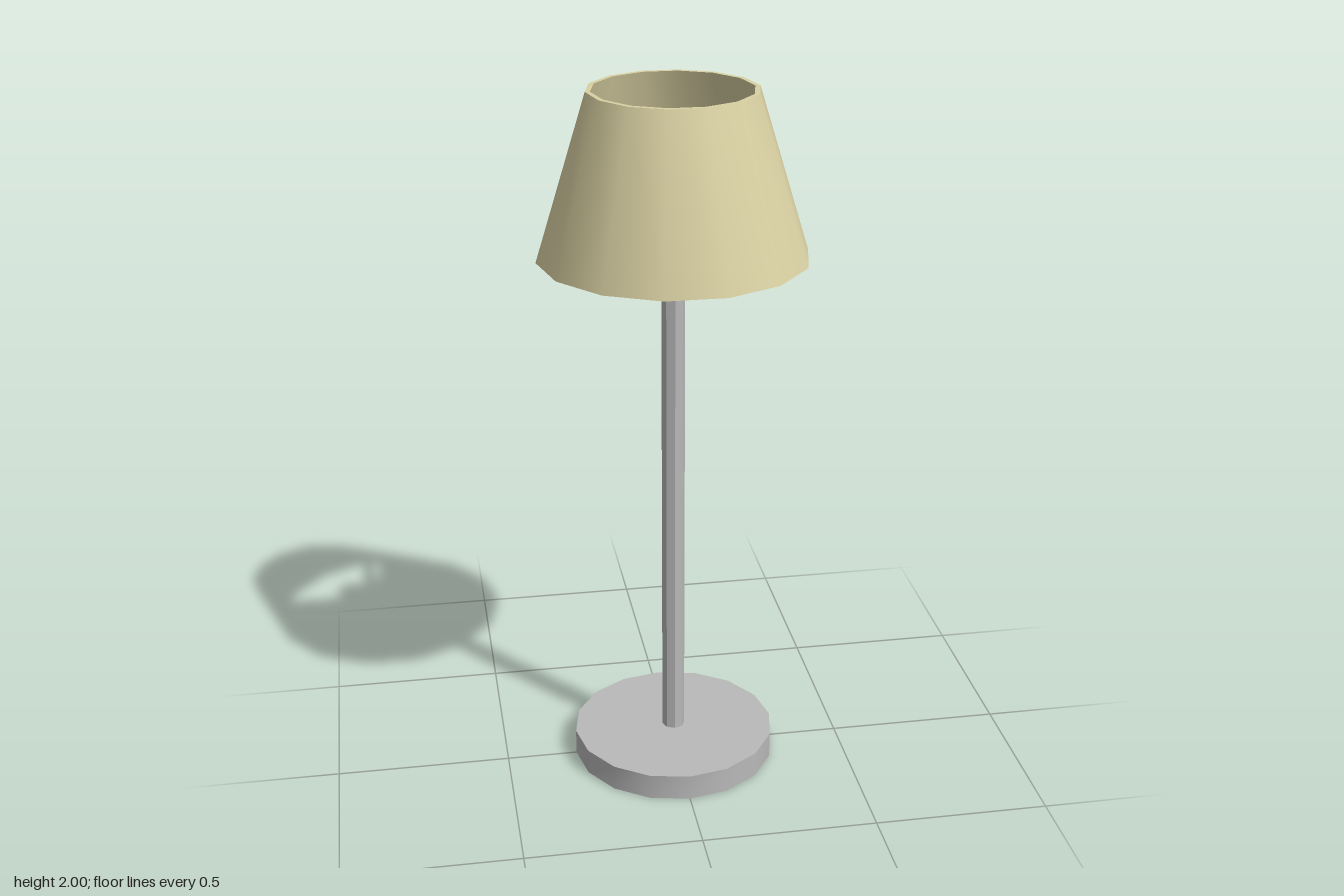
import * as THREE from 'three';
import { toCreasedNormals } from 'three/addons/utils/BufferGeometryUtils.js';

export function createModel() {
  const group = new THREE.Group();
  const material = (name, color) => {
    const m = new THREE.MeshStandardMaterial({ color });
    m.name = name;
    return m;
  };
  const metal = material('grey metal', 0xb9b9b9);
  const fabric = material('cream fabric', 0xdad1a3);
  const glow = material('yellow bulb', 0xe0d80a);

  // Adds a part; edges sharper than the crease angle stay hard
  const add = (name, geometry, mat, y, crease) => {
    const mesh = new THREE.Mesh(toCreasedNormals(geometry, crease), mat);
    mesh.name = name;
    mesh.position.y = y;
    group.add(mesh);
    return mesh;
  };

  // Round foot and slim faceted pole
  add('base', new THREE.CylinderGeometry(0.295, 0.295, 0.075, 16), metal, 0.0375, 0.6);
  add('pole', new THREE.CylinderGeometry(0.033, 0.033, 1.605, 8), metal, 0.8775, 0.6);

  // Cross of two bars holding the shade
  for (const [name, turn] of [['sideBar', 0], ['frontBar', Math.PI / 2 - 0.01]]) {
    const bar = add(name, new THREE.BoxGeometry(0.62, 0.02, 0.02), metal, 1.675, 0.6);
    bar.rotation.y = turn;
  }

  // Faceted bulb on top of the pole
  add('bulb', new THREE.SphereGeometry(0.065, 8, 8), glow, 1.74, 0.01);

  // Open tapered shade with a thin wall, corners on the x axis
  const wall = [[0.373, 1.545], [0.232, 2], [0.218, 2], [0.359, 1.545], [0.373, 1.545]]
    .map(([r, y]) => new THREE.Vector2(r, y));
  add('shade', new THREE.LatheGeometry(wall, 14, Math.PI / 2), fabric, 0, 0.6);

  return group;
}
